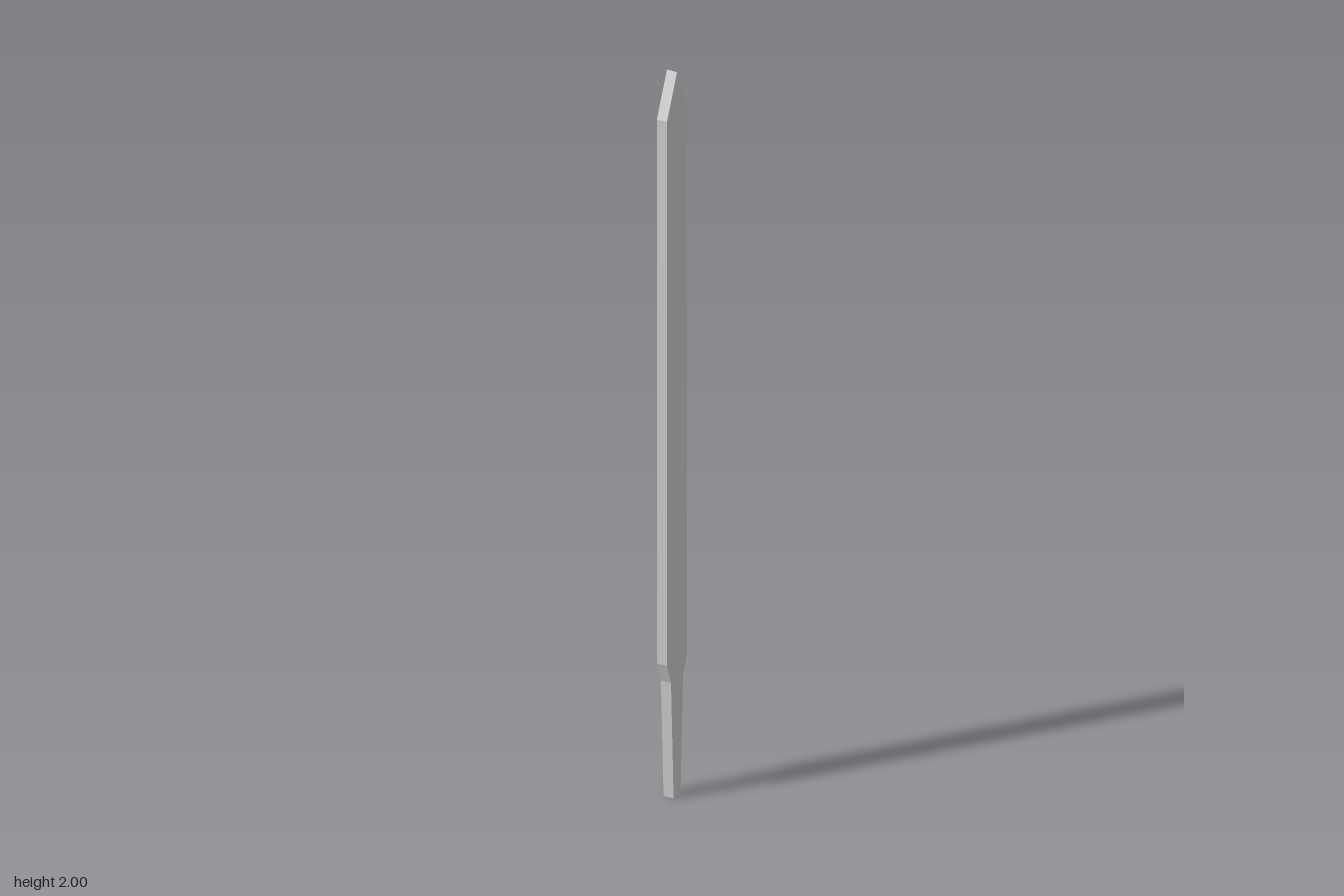
import * as THREE from 'three';

const THICKNESS = 0.03;

// Half outline as [half width, height], from the tang's foot to the tip
const profile = [
  [0.016, 0],
  [0.028, 0.323],
  [0.047, 0.378],
  [0.047, 1.88],
  [0, 2],
];

export function createModel() {
  const group = new THREE.Group();
  group.name = 'flatStake';

  // Mirror the half outline; the tip is shared by both sides
  const right = profile.map(([w, y]) => new THREE.Vector2(w, y));
  const left = profile.slice(0, -1).reverse().map(([w, y]) => new THREE.Vector2(-w, y));

  // Flat bar with a pointed top and a tapered tang, turned so its broad sides face +x and -x
  const geometry = new THREE.ExtrudeGeometry(new THREE.Shape([...right, ...left]), {
    depth: THICKNESS,
    bevelEnabled: false,
  });
  geometry.translate(0, 0, -THICKNESS / 2);
  geometry.rotateY(Math.PI / 2);

  const blade = new THREE.Mesh(
    geometry,
    new THREE.MeshStandardMaterial({ color: 0xcccccc, flatShading: true })
  );
  blade.name = 'blade';
  group.add(blade);
  return group;
}
